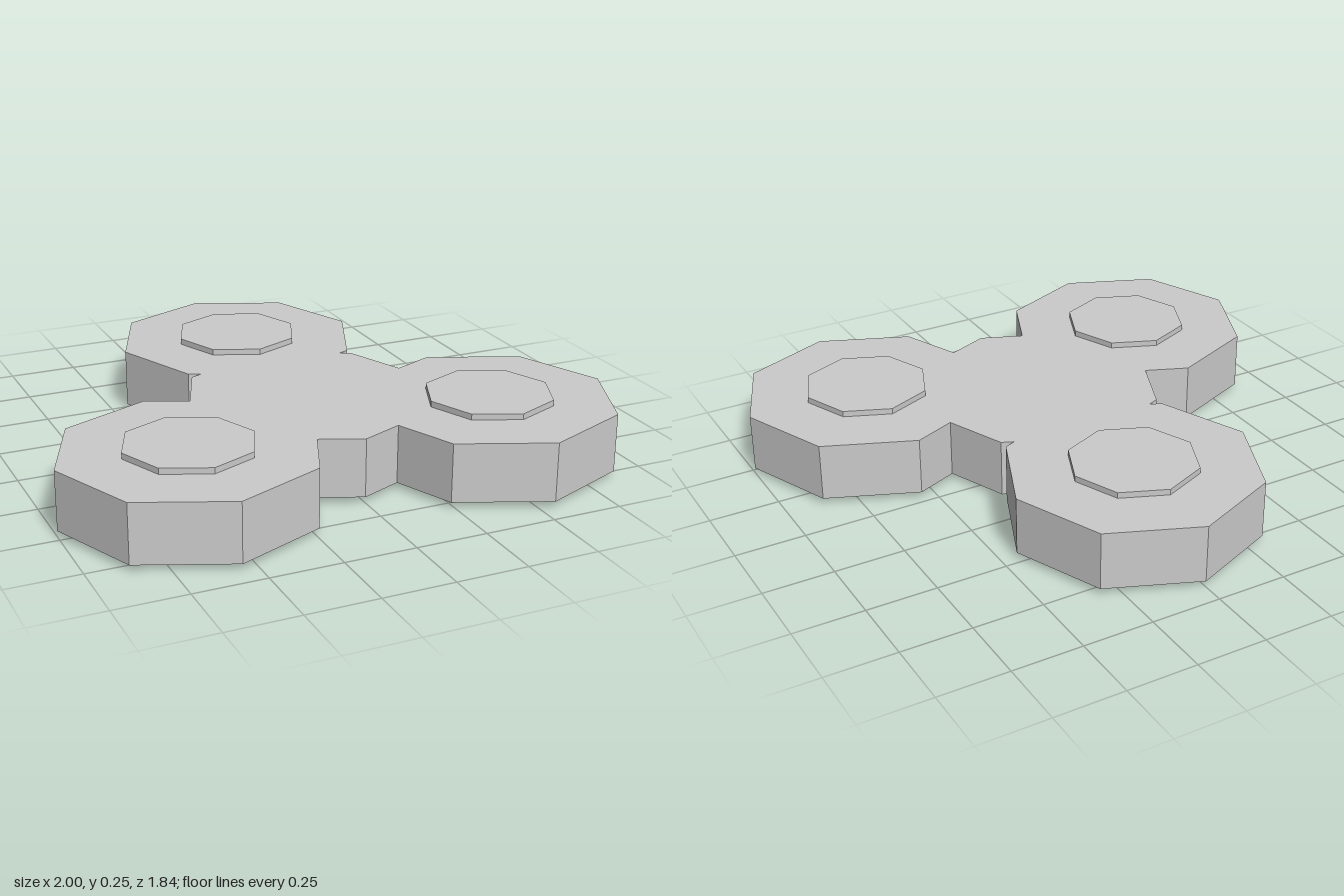
import * as THREE from 'three';

const HEIGHT = 0.25, LIP = 0.021;

export function createModel() {
  const group = new THREE.Group();
  const material = new THREE.MeshStandardMaterial({ color: 0xcccccc, flatShading: true });

  // Corner of an octagonal lobe, counted in eighths of a turn from +x towards +z
  const R = 0.447;
  const corner = (cx, cz, i) => [cx + R * Math.cos(i * Math.PI / 4), cz + R * Math.sin(i * Math.PI / 4)];
  const side = [0.553, 0.475], back = [0, -0.475], hub = [0, 0.192];

  // Left half of the body outline, front to back: hub, side lobe, hub, back lobe
  const half = [
    corner(...hub, 2),
    [0.148, 0.578],
    ...[3, 2, 1, 0, -1, -2].map(i => corner(...side, i)),
    [0.404, 0.09],
    corner(...hub, -1),
    [0.274, -0.142],
    ...[1, 0, -1, -2].map(i => corner(...back, i)),
  ];
  const mirrored = half.slice(1, -1).reverse().map(([x, z]) => [-x, z]);
  const outline = new THREE.Shape([...half, ...mirrored].map(p => new THREE.Vector2(...p)));

  // Flat three-lobed body
  const bodyGeometry = new THREE.ExtrudeGeometry(outline, { depth: HEIGHT - 2 * LIP, bevelEnabled: false });
  bodyGeometry.rotateX(Math.PI / 2).translate(0, HEIGHT - LIP, 0);
  const body = new THREE.Mesh(bodyGeometry, material);
  body.name = 'body';
  group.add(body);

  // Octagonal weights, standing proud above and below each lobe
  const weightGeometry = new THREE.CylinderGeometry(0.227, 0.227, HEIGHT, 8);
  const lobes = { leftWeight: side, rightWeight: [-side[0], side[1]], backWeight: back };
  for (const [name, [x, z]] of Object.entries(lobes)) {
    const weight = new THREE.Mesh(weightGeometry, material);
    weight.name = name;
    weight.position.set(x, HEIGHT / 2, z);
    group.add(weight);
  }
  return group;
}
